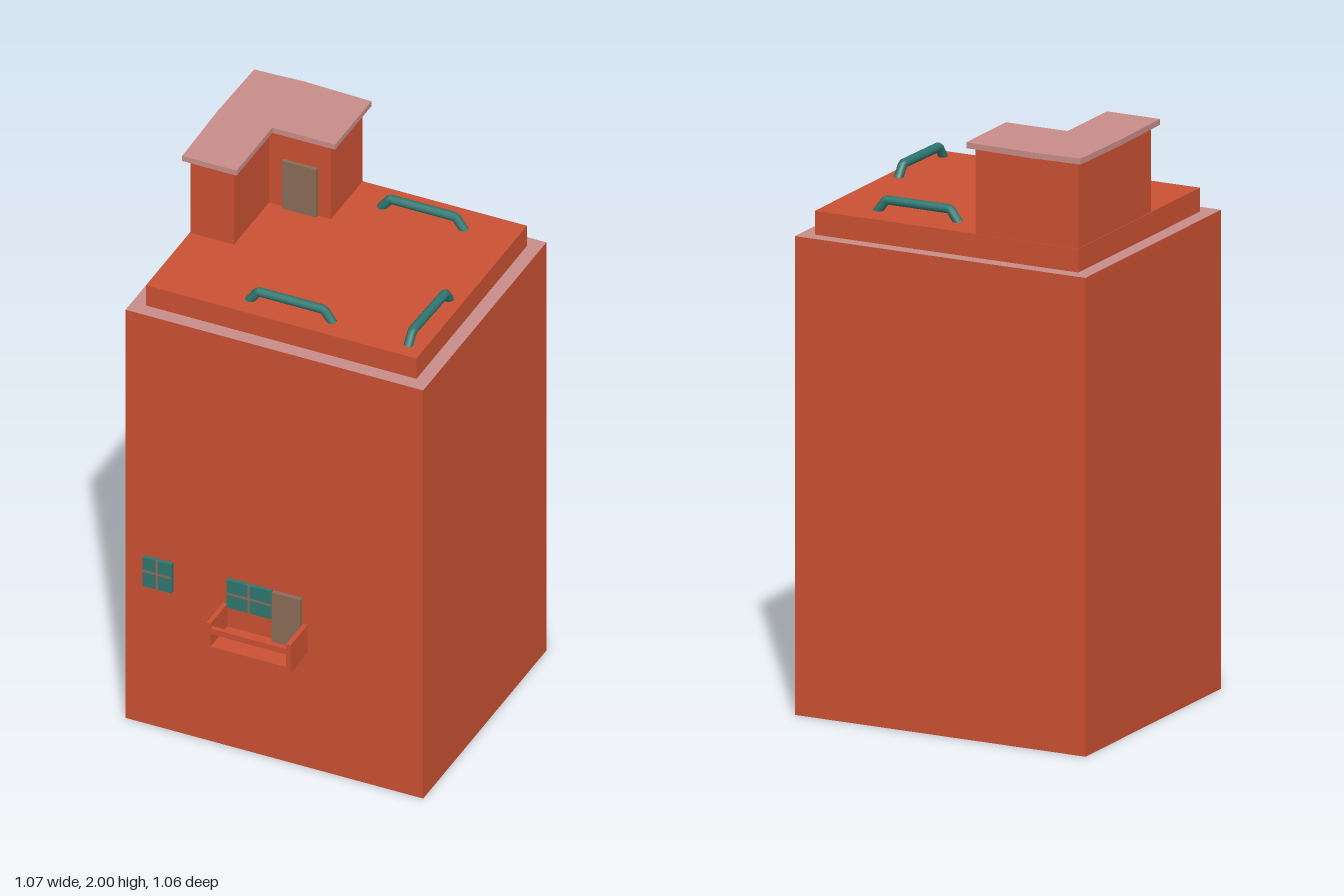
import * as THREE from 'three';

const mat = (name, color) => new THREE.MeshStandardMaterial({ name, color });

export function createModel() {
  const brick = mat('brick orange', 0xcb5133);
  const pink = mat('roof pink', 0xc98d88);
  const teal = mat('teal', 0x2f766f);
  const brown = mat('door brown', 0x8b6b57);
  const root = new THREE.Group();
  root.name = 'apartmentTower';

  function add(name, geometry, material, parent = root) {
    const mesh = new THREE.Mesh(geometry, material);
    mesh.name = name;
    parent.add(mesh);
    return mesh;
  }

  // Box given by its limits on each axis
  function block(name, [x0, x1], [y0, y1], [z0, z1], material, parent) {
    const mesh = add(name, new THREE.BoxGeometry(x1 - x0, y1 - y0, z1 - z0), material, parent);
    mesh.position.set((x0 + x1) / 2, (y0 + y1) / 2, (z0 + z1) / 2);
    return mesh;
  }

  // Upright prism from a plan outline of [x, z] points
  function prism(name, plan, y0, y1, material) {
    const shape = new THREE.Shape(plan.map(([x, z]) => new THREE.Vector2(x, -z)));
    const geometry = new THREE.ExtrudeGeometry(shape, { depth: y1 - y0, bevelEnabled: false });
    geometry.rotateX(-Math.PI / 2).translate(0, y0, 0);
    return add(name, geometry, material);
  }

  // Tower with a pink ledge on top, and the raised roof deck
  block('tower', [-0.535, 0.532], [0, 1.61], [-0.53, 0.4],
    [brick, brick, pink, brick, brick, brick]);
  block('roofDeck', [-0.485, 0.484], [1.61, 1.69], [-0.484, 0.35], brick);

  // L-shaped stair house with an overhanging slab and a door
  prism('stairHouse', [[-0.482, 0.02], [-0.327, 0.02], [-0.327, -0.245],
    [-0.105, -0.245], [-0.105, -0.482], [-0.482, -0.482]], 1.69, 1.98, brick);
  prism('stairHouseRoof', [[-0.503, 0.04], [-0.308, 0.04], [-0.308, -0.23], [-0.083, -0.23],
    [-0.083, -0.503], [-0.325, -0.511], [-0.503, -0.503], [-0.509, -0.24]], 1.98, 2, pink);
  block('roofDoor', [-0.275, -0.152], [1.69, 1.878], [-0.25, -0.232], brown);

  // Bent pipe handrails on the deck
  const points = [[-0.15, 1.685], [-0.118, 1.729], [0.118, 1.729], [0.15, 1.685]]
    .map(([x, y]) => new THREE.Vector3(x, y, 0));
  const railPath = new THREE.CurvePath();
  for (let i = 0; i < 3; i++) railPath.add(new THREE.LineCurve3(points[i], points[i + 1]));
  const railGeometry = new THREE.TubeGeometry(railPath, 48, 0.0155, 12, false);
  for (const [name, x, z, turn] of [['frontRail', 0, 0.277, 0], ['backRail', 0.16, -0.38, 0],
    ['sideRail', 0.431, 0.145, Math.PI / 2 + 0.025]]) {
    const rail = add(name, railGeometry, teal);
    rail.position.set(x, 0, z);
    rail.rotation.y = -turn;
  }

  // Windows with thin crossed glazing bars
  function windowUnit(name, x0, x1, y0, y1) {
    const group = new THREE.Group();
    group.name = name;
    root.add(group);
    const cx = (x0 + x1) / 2, bar = 0.004;
    block('glass', [x0, x1], [y0, y1], [0.39, 0.414], teal, group);
    block('uprightBar', [cx - bar, cx + bar], [y0, y1], [0.412, 0.416], brown, group);
    block('crossBar', [x0, x1], [0.61 - bar, 0.61 + bar], [0.412, 0.4155], brown, group);
  }
  windowUnit('smallWindow', -0.467, -0.364, 0.55, 0.663);
  windowUnit('balconyWindow', -0.167, -0.007, 0.555, 0.663);
  block('balconyDoor', [-0.004, 0.098], [0.465, 0.663], [0.39, 0.416], brown);

  // Balcony: floor, solid sides and a lower front panel with a slot
  const balcony = new THREE.Group();
  balcony.name = 'balcony';
  root.add(balcony);
  block('floor', [-0.185, 0.117], [0.45, 0.47], [0.39, 0.527], brick, balcony);
  block('rightWall', [-0.185, -0.17], [0.47, 0.56], [0.39, 0.527], brick, balcony);
  block('leftWall', [0.1, 0.117], [0.47, 0.56], [0.39, 0.527], brick, balcony);
  block('frontRail', [-0.17, 0.1], [0.519, 0.541], [0.511, 0.527], brick, balcony);

  return root;
}
